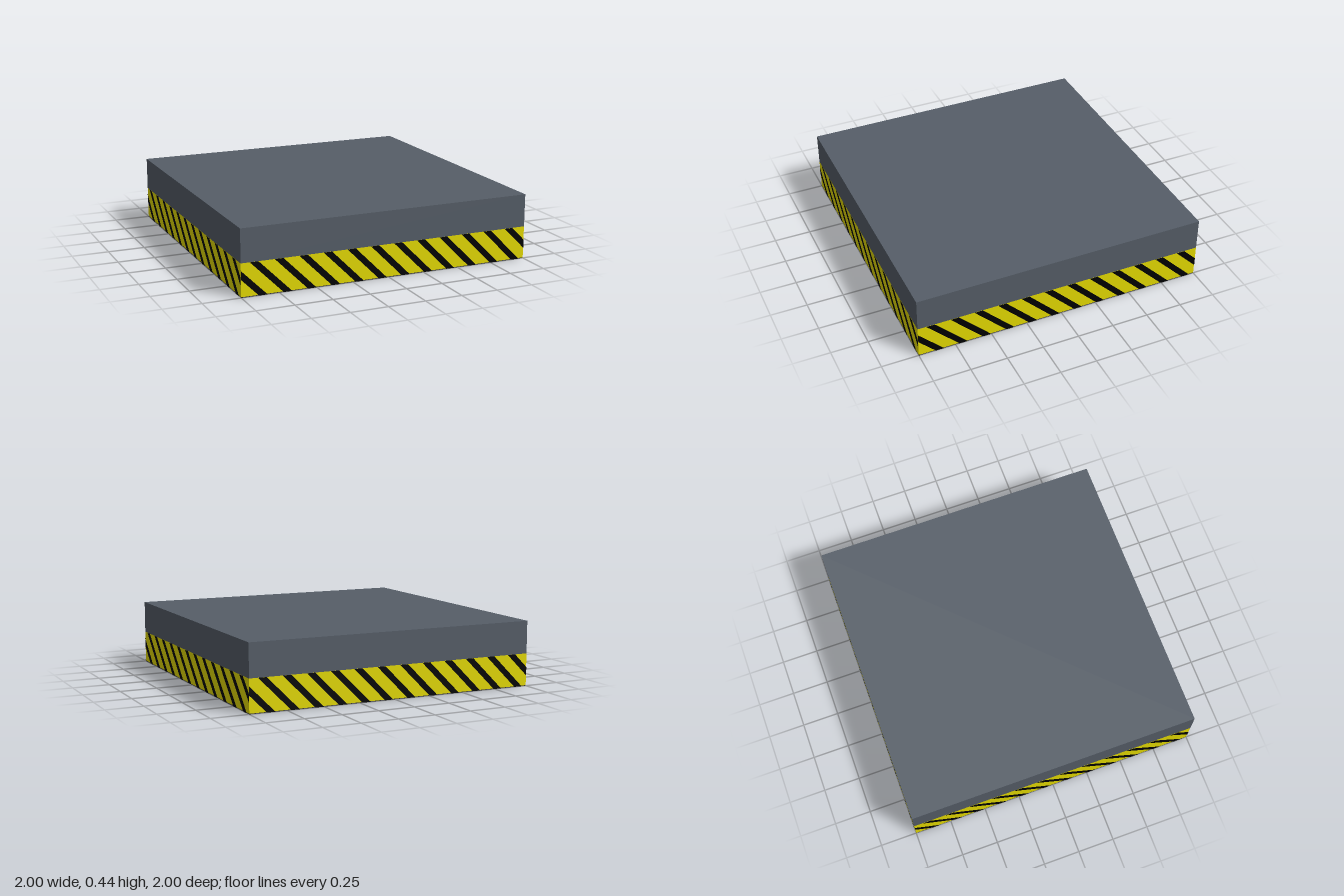
import * as THREE from 'three';

const mat = (name, color) => new THREE.MeshStandardMaterial({ name, color });

export function createModel() {
  const steel = mat('steelGrey', 0x565e68);
  const yellow = mat('warningYellow', 0xe6dc00);
  const black = mat('stripeBlack', 0x000000);
  const dark = mat('darkLining', 0x3a3938);
  const blue = mat('rollerBlue', 0x084a6a);

  const model = new THREE.Group();
  model.name = 'platform';
  const add = (parent, name, geometry, material) => {
    const mesh = new THREE.Mesh(geometry, material);
    mesh.name = name;
    parent.add(mesh);
    return mesh;
  };

  // Square ring between two half widths, from y0 up to y1
  const square = (Type, h) => new Type([[-h, -h], [h, -h], [h, h], [-h, h]].map(p => new THREE.Vector2(...p)));
  const ring = (outer, inner, y0, y1) => {
    const shape = square(THREE.Shape, outer);
    shape.holes.push(square(THREE.Path, inner));
    return new THREE.ExtrudeGeometry(shape, { depth: y1 - y0, bevelEnabled: false })
      .rotateX(-Math.PI / 2).translate(0, y0, 0);
  };

  // Grey slab on a yellow skirt, dark on the inside
  const band = 0.22, top = 0.44;
  add(model, 'topSlab', new THREE.BoxGeometry(2, top - band, 2).translate(0, (top + band) / 2, 0), steel);
  add(model, 'skirt', ring(1, 0.95, 0.004, band), yellow);
  add(model, 'lining', ring(0.95, 0.94, 0.004, band), dark);
  add(model, 'bottomRim', ring(1, 0.94, 0, 0.004), dark);
  add(model, 'ceiling', new THREE.BoxGeometry(1.9, 0.006, 1.9).translate(0, band - 0.003, 0), dark);

  // Diagonal stripes, each clipped to the skirt rectangle
  const bottomPoint = s => (s > 1 ? [1, s - 1] : [s, 0]);
  const topPoint = s => (s - band < -1 ? [-1, s + 1] : [s - band, band]);
  const stripes = [];
  for (let k = -1; k <= 13; k++) {
    const start = -0.885 + 0.163 * k;
    const a = Math.max(-1, start);
    const b = Math.min(1 + band, start + 0.057);
    if (b - a < 0.002) continue;
    const points = [bottomPoint(a)];
    if (a < 1 && b > 1) points.push([1, 0]);
    points.push(bottomPoint(b), topPoint(b));
    if (a < band - 1 && b > band - 1) points.push([-1, band]);
    points.push(topPoint(a));
    stripes.push(new THREE.Shape(points.map(p => new THREE.Vector2(...p))));
  }
  const stripeGeometry = new THREE.ShapeGeometry(stripes).translate(0, 0, 1.002);
  for (let side = 0; side < 4; side++) {
    add(model, 'hazardStripes', stripeGeometry, black).rotation.y = side * Math.PI / 2;
  }

  // Rollers lying along z
  const roller = (radius, length) =>
    new THREE.CylinderGeometry(radius, radius, length, 32).rotateX(Math.PI / 2);
  const blueRoller = roller(0.13, 1.82);
  const endRoller = roller(0.1, 1.88);
  for (const side of [-1, 1]) {
    for (const x of [0.18, 0.54]) {
      add(model, 'blueRoller', blueRoller, blue).position.set(side * x, 0.135, 0);
    }
    add(model, 'endRoller', endRoller, steel).position.set(side * 0.88, 0.105, 0);
  }
  return model;
}
